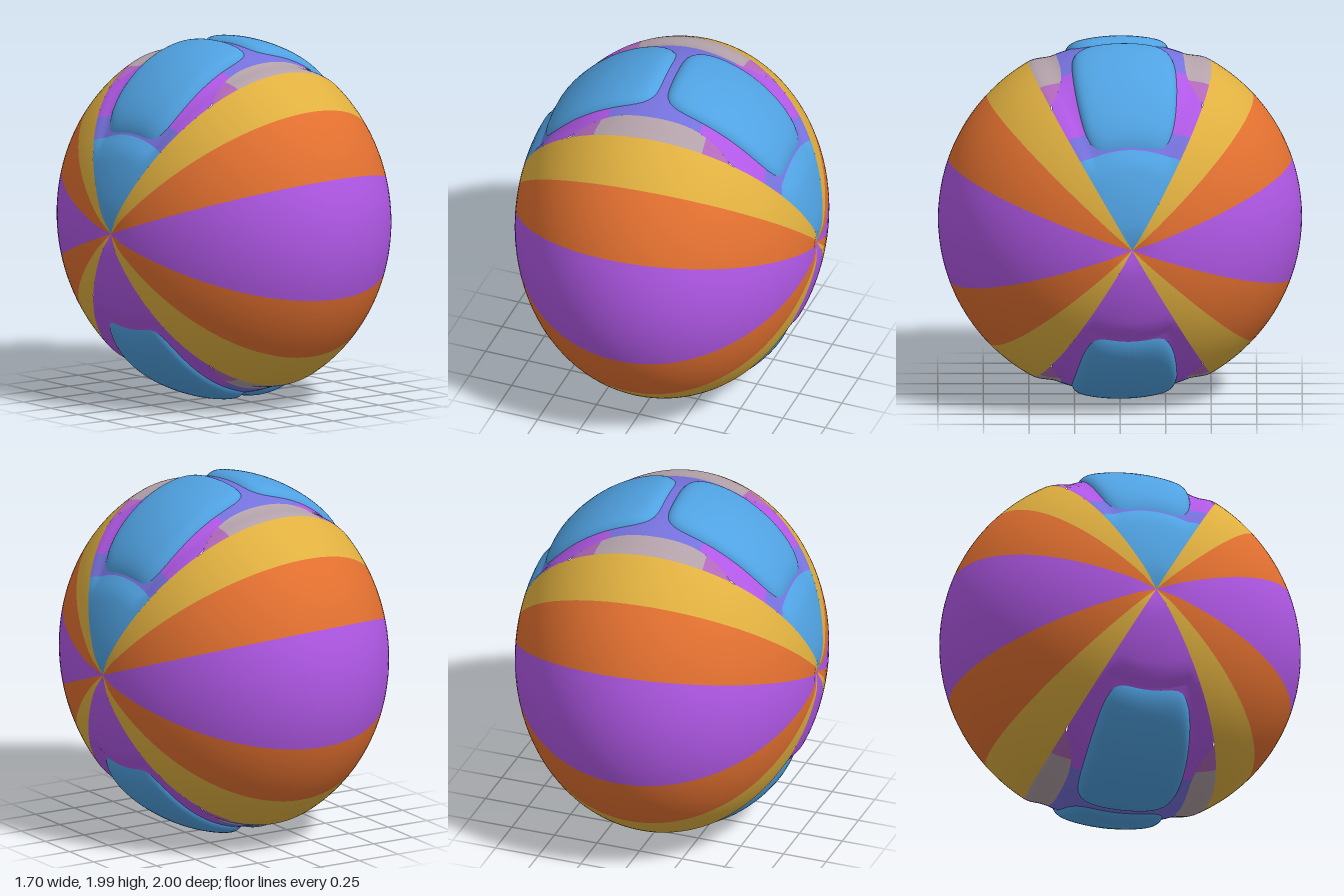
import * as THREE from 'three';

const A = 0.85; // half length along the pole axis; the equator radius is 1
const RAD = Math.PI / 180;
const smooth = (t) => THREE.MathUtils.smoothstep(t, 0, 1);

const material = (name, color) => {
  const m = new THREE.MeshStandardMaterial({ color });
  m.name = name;
  return m;
};

// Point on the ball: x along the pole axis, phi around it, lift outwards
function ballPoint(x, phi, lift) {
  const r = Math.sqrt(Math.max(0, 1 - (x / A) ** 2));
  const dimple = 1 - 0.025 * Math.exp(-((r / 0.07) ** 2));
  return new THREE.Vector3(x * dimple, r * Math.sin(phi), r * Math.cos(phi)).multiplyScalar(1 + lift);
}

// Smooth grid surface from fn(u, v), outward where du x dv points out
function grid(fn, nu, nv) {
  const pos = [], index = [];
  for (let j = 0; j <= nv; j++)
    for (let i = 0; i <= nu; i++) pos.push(...fn(i / nu, j / nv).toArray());
  for (let j = 0; j < nv; j++)
    for (let i = 0; i < nu; i++) {
      const a = j * (nu + 1) + i, b = a + 1, c = a + nu + 1, d = c + 1;
      index.push(a, b, d, a, d, c);
    }
  const g = new THREE.BufferGeometry();
  g.setAttribute('position', new THREE.Float32BufferAttribute(pos, 3));
  g.setIndex(index);
  g.computeVertexNormals();
  return g;
}

// Patch from x0 down to x1, between two angles that may vary with x
function patch(x0, x1, phi0, phi1, lift = () => 0, nu = 12) {
  const s0 = Math.acos(x0 / A), s1 = Math.acos(x1 / A);
  const nv = Math.max(4, Math.ceil((s1 - s0) * 20));
  return grid((u, v) => {
    const x = A * Math.cos(s0 + (s1 - s0) * v);
    const a = phi0(x), phi = a + (phi1(x) - a) * u;
    return ballPoint(x, phi * RAD, lift(x, phi));
  }, nu, nv);
}

// Raised cushion with rounded corners
function panelGeometry(side, centre) {
  return grid((u, v) => {
    const rho = 1 - (1 - u) ** 2, t = v * Math.PI * 2;
    const c = Math.cos(t), s = Math.sin(t);
    const k = (Math.abs(c) ** 6 + Math.abs(s) ** 6) ** (1 / 6);
    const x = side * 0.365 + (0.347 * rho * c) / k;
    const w = 0.3 - 0.055 * ((Math.abs(x) - 0.3) / 0.4) ** 2;
    const r = Math.sqrt(1 - (x / A) ** 2);
    const d = Math.asin((w * rho * s) / k / r);
    return ballPoint(x, centre * RAD + d, 0.004 - 0.045 * rho ** 12);
  }, 16, 72);
}

export function createModel() {
  const purple = material('purple', 0xb058e6);
  const orange = material('orange', 0xe27030);
  const yellow = material('yellow', 0xe0b040);
  const blue = material('blue', 0x50a2e2);
  const indigo = material('indigo', 0x7672de);
  const grey = material('warm grey', 0xb4a2aa);
  const mauve = material('mauve', 0xb268bc);

  const ball = new THREE.Group();
  ball.name = 'ball';
  const add = (name, geometry, mat) => {
    const m = new THREE.Mesh(geometry, mat);
    m.name = name;
    ball.add(m);
  };

  // Long stripes running from pole to pole, front and back
  const stripes = [
    ['yellowStripe', -60, -43, yellow], ['orangeStripe', -43, -19.5, orange],
    ['purpleStripe', -19.5, 19.5, purple],
    ['orangeStripe', 19.5, 43, orange], ['yellowStripe', 43, 60, yellow],
  ];
  for (const turn of [0, 180])
    for (const [name, a, b, mat] of stripes)
      add(name, patch(A, -A, () => a + turn, () => b + turn), mat);

  // Half width of the inner wedge, leaving a lens beside the middle
  const inner = (x) => 30 - 9 * Math.max(0, 1 - (x / 0.46) ** 4);

  // Top and bottom wedges, sunk around the cushions
  for (const centre of [90, -90]) {
    const tip = centre > 0 ? blue : purple;
    const shoulder = centre > 0 ? indigo : purple;
    const sink = (x, phi) =>
      -0.03 * smooth((30 - Math.abs(phi - centre)) / 8) * smooth((0.76 - Math.abs(x)) / 0.06);
    const wedge = (name, x0, x1, mat) =>
      add(name, patch(x0, x1, (x) => centre - inner(x), (x) => centre + inner(x), sink, 28), mat);

    wedge('wedgeTip', A, 0.71, tip);
    wedge('wedgeShoulder', 0.71, 0.63, shoulder);
    wedge('wedgeSide', 0.63, 0.27, purple);
    wedge('wedgeMiddle', 0.27, -0.27, indigo);
    wedge('wedgeSide', -0.27, -0.63, purple);
    wedge('wedgeShoulder', -0.63, -0.71, shoulder);
    wedge('wedgeTip', -0.71, -A, tip);

    // Lens-shaped bands between wedge and yellow stripes
    for (const [x0, x1, mat] of [[0.46, 0.31, mauve], [0.31, -0.31, grey], [-0.31, -0.46, mauve]]) {
      add('lensBand', patch(x0, x1, (x) => centre + inner(x), () => centre + 30, sink), mat);
      add('lensBand', patch(x0, x1, () => centre - 30, (x) => centre - inner(x), sink), mat);
    }

    // Pair of cushions
    for (const side of [1, -1]) add('cushionPanel', panelGeometry(side, centre), blue);
  }

  ball.rotation.y = 0.08;
  ball.position.y = 1;
  const model = new THREE.Group();
  model.name = 'stripedBall';
  model.add(ball);
  return model;
}
